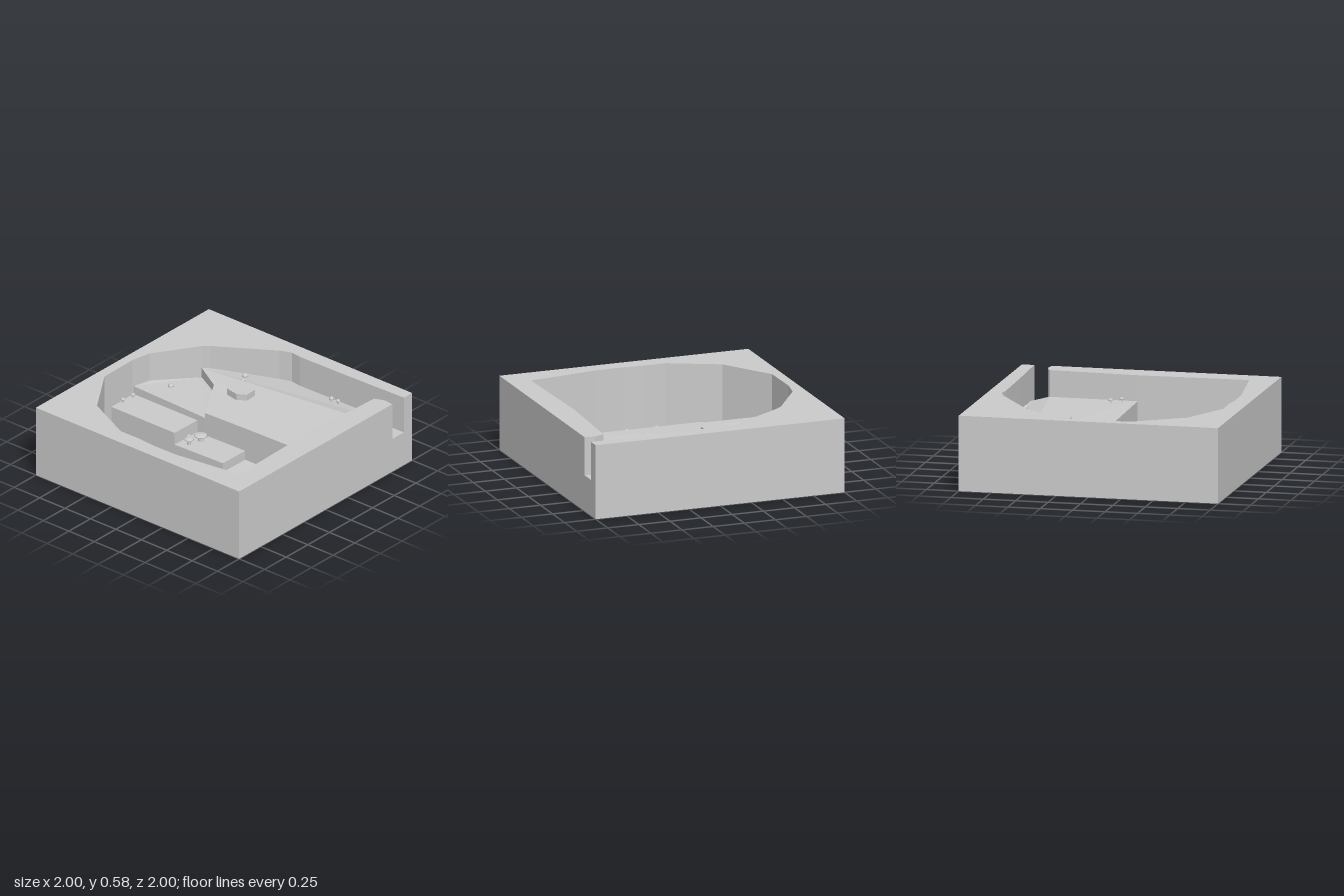
import * as THREE from 'three';

const material = new THREE.MeshStandardMaterial({ color: 0xcccccc, flatShading: true });
const smooth = new THREE.MeshStandardMaterial({ color: 0xcccccc });

function add(parent, name, geometry, mat = material) {
  const mesh = new THREE.Mesh(geometry, mat);
  mesh.name = name;
  parent.add(mesh);
  return mesh;
}

// Upright prism over [x, z] or [x, z, topHeight] corners; a corner's own height wins over `top`.
function prism(points, top, base = 0) {
  const shape = new THREE.Shape(points.map(([x, z]) => new THREE.Vector2(x, -z)));
  const geometry = new THREE.ExtrudeGeometry(shape, { depth: 1, bevelEnabled: false });
  geometry.rotateX(-Math.PI / 2);
  const pos = geometry.attributes.position;
  for (let i = 0; i < pos.count; i++) {
    if (pos.getY(i) < 0.5) { pos.setY(i, base); continue; }
    const corner = points.find(([x, z]) => Math.hypot(x - pos.getX(i), z - pos.getZ(i)) < 1e-4);
    pos.setY(i, corner[2] ?? top);
  }
  geometry.computeVertexNormals();
  return geometry;
}

// Mushroom with a tapered stem and a rounded cap
function mushroom(parent, x, y, z, r, flat) {
  const group = new THREE.Group();
  group.name = flat ? 'flatMushroom' : 'mushroom';
  const h = flat ? 0.04 : 0.02;
  const stem = add(group, 'stem', new THREE.CylinderGeometry(r * 0.3, r * 0.4, h, 8), smooth);
  stem.position.y = h / 2;
  const profile = [[0, 0], [0.85, 0], [1, 0.15], [0.92, 0.5], [0.6, 0.85], [0, 1]];
  const capHeight = flat ? 0.016 : r * 1.1;
  const cap = add(group, 'cap', new THREE.LatheGeometry(
    profile.map(([px, py]) => new THREE.Vector2(px * r, py * capHeight)), 8), smooth);
  cap.position.y = h;
  cap.rotation.y = Math.PI / 8;
  group.position.set(x, y, z);
  parent.add(group);
}

export function createModel() {
  const model = new THREE.Group();
  model.name = 'walledBasin';

  // Outer block: a square cut by the basin outline, open through a notch in the +x side
  const basin = [
    [0.53, -0.89], [0, -0.88], [-0.09, -0.89], [-0.18, -0.855], [-0.62, -0.575], [-0.67, -0.53],
    [-0.895, -0.19], [-0.925, -0.03], [-0.92, 0.3], [-0.67, 0.68], [-0.28, 0.865], [-0.1, 0.862],
    [0.05, 0.875], [0.27, 0.872], [0.825, 0.795], [0.805, -0.06], [0.84, -0.75],
  ];
  const notch = [[0.92, -0.78], [1, -0.77]];
  add(model, 'outerWalls', prism(
    [[1, -1], [-1, -1], [-1, 1], [1, 1], ...notch.slice().reverse(), ...basin.slice().reverse(), [1, -0.905]],
    0.577));

  // Floor of the notch
  add(model, 'notchFloor', prism([[0.855, -0.9], [0.84, -0.75], ...notch, [1, -0.905]], 0.28));

  // Low floor at the front of the basin
  add(model, 'lowerFloor', prism([
    [-0.925, -0.03, 0.065], [-0.92, 0.3, 0.065], [-0.67, 0.68, 0.065], [-0.28, 0.865, 0.07], [-0.1, 0.862, 0.07],
    [0.05, 0.875, 0.07], [0.27, 0.872, 0.075], [0.825, 0.795, 0.085], [0.805, -0.06, 0.09]]));

  // Three terraces stepping down towards +x
  add(model, 'highTerrace', prism([[-0.925, -0.045], [-0.92, 0.22], [-0.3, 0.22], [-0.295, -0.045]], 0.283));
  add(model, 'middleTerrace', prism([[-0.295, -0.045], [-0.3, 0.22], [0.165, 0.205], [0.165, -0.05]], 0.183));
  add(model, 'lowTerrace', prism([
    [0.165, -0.05, 0.107], [0.165, 0.205, 0.107], [0.57, 0.18, 0.087], [0.81, 0.17, 0.08], [0.805, -0.06, 0.1]]));

  // Side platform at the -x end
  add(model, 'sidePlatform', prism([
    [-0.67, -0.53, 0.31], [-0.895, -0.19, 0.345], [-0.925, -0.04, 0.35], [-0.22, -0.04, 0.33], [-0.44, -0.4, 0.32]]));

  // Upper plateau in two planes, the rear one falling towards the back wall
  add(model, 'upperPlateau', prism([
    [-0.67, -0.53, 0.39], [-0.44, -0.4, 0.383], [-0.22, -0.04, 0.372], [0.165, -0.05, 0.374],
    [0.805, -0.06, 0.378], [0.84, -0.75, 0.373]]));
  add(model, 'rearPlateau', prism([
    [-0.67, -0.53, 0.39], [0.84, -0.75, 0.373], [0.855, -0.9, 0.33], [0.53, -0.89, 0.33], [0, -0.88, 0.33],
    [-0.09, -0.89, 0.33], [-0.18, -0.855, 0.335], [-0.62, -0.575, 0.385]]));

  // Flat-topped boulder on the plateau
  add(model, 'boulder', prism([
    [-0.32, -0.45], [-0.31, -0.4], [-0.27, -0.35], [-0.16, -0.33], [-0.09, -0.37], [-0.095, -0.47],
    [-0.17, -0.53], [-0.27, -0.51]], 0.435, 0.3));

  // Mushrooms: x, ground, z, cap radius
  const mushrooms = [
    [0.36, 0.35, -0.82, 0.02], [0.42, 0.35, -0.825, 0.018], [-0.35, 0.36, -0.655, 0.026], [-0.31, 0.365, -0.585, 0.018],
    [0.69, 0.376, -0.24, 0.018], [0.75, 0.376, -0.17, 0.018], [-0.73, 0.31, -0.245, 0.025],
    [-0.89, 0.283, 0.005, 0.018], [-0.9, 0.283, 0.11, 0.018], [-0.27, 0.183, 0.09, 0.019], [0.49, 0.092, 0, 0.025],
    [-0.66, 0.065, 0.51, 0.018], [-0.615, 0.065, 0.595, 0.025], [-0.185, 0.07, 0.8, 0.025],
    [0.045, 0.07, 0.825, 0.018], [0.11, 0.07, 0.8, 0.018], [0.67, 0.085, 0.705, 0.026], [0.75, 0.085, 0.675, 0.018],
  ];
  for (const [x, y, z, r] of mushrooms) mushroom(model, x, y, z, r, false);
  mushroom(model, -0.19, 0.183, 0.045, 0.053, true);
  mushroom(model, -0.22, 0.183, 0.145, 0.038, true);

  return model;
}
